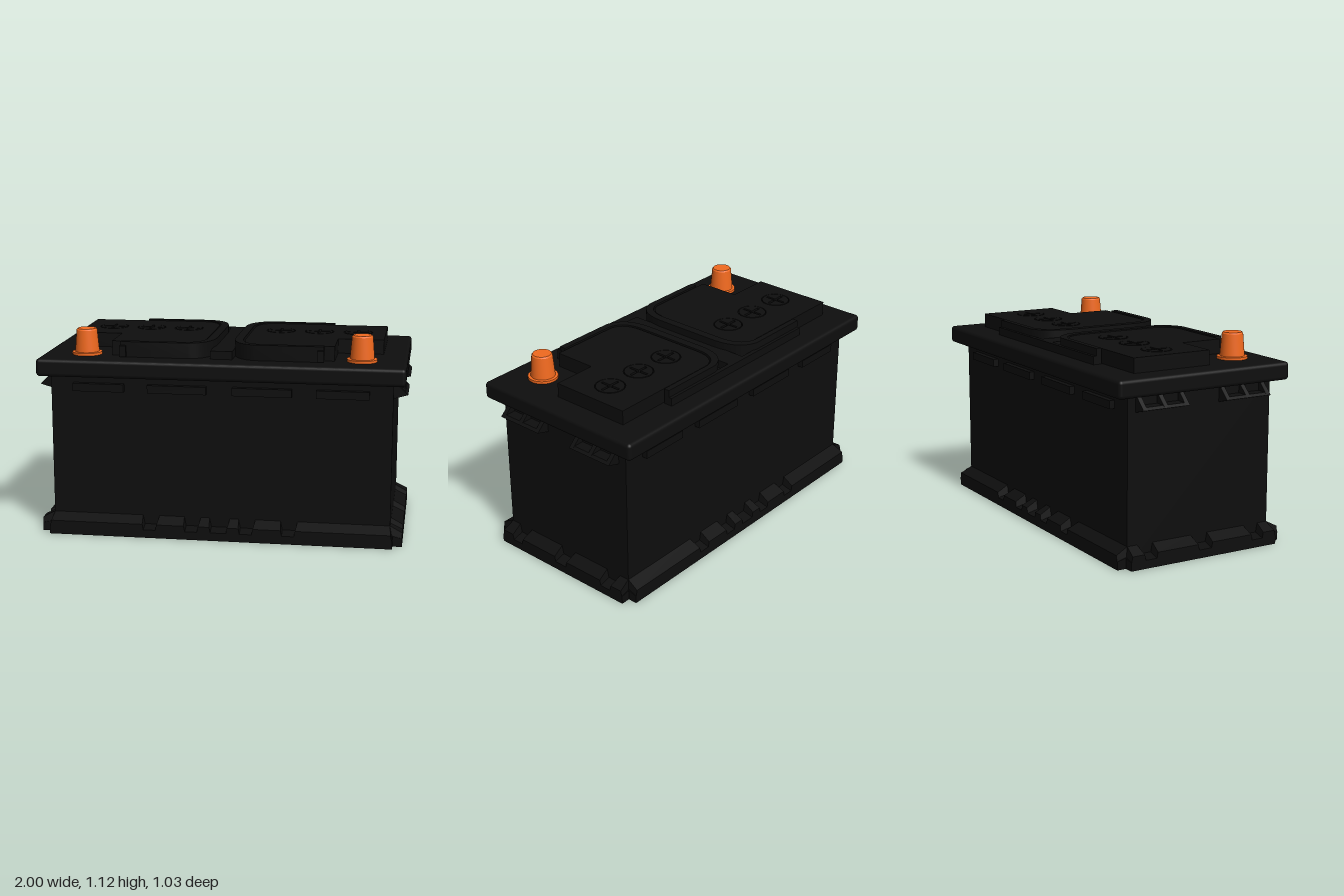
import * as THREE from 'three';
import { RoundedBoxGeometry } from 'three/addons/geometries/RoundedBoxGeometry.js';
import { toCreasedNormals } from 'three/addons/utils/BufferGeometryUtils.js';

const black = new THREE.MeshStandardMaterial({ color: 0x0e0e0e });
const orange = new THREE.MeshStandardMaterial({ color: 0xf26a1f });
const BODY_X = 0.925, BODY_Z = 0.435;

function add(parent, name, geometry, x = 0, y = 0, z = 0, material = black) {
  const mesh = new THREE.Mesh(geometry, material);
  mesh.name = name;
  mesh.position.set(x, y, z);
  parent.add(mesh);
  return mesh;
}

const box = (w, h, d) => new THREE.BoxGeometry(w, h, d);

// Flat outline in (x, -z) raised along y
function slab(shape, height) {
  const g = new THREE.ExtrudeGeometry(shape, { depth: height, bevelEnabled: false, curveSegments: 12 });
  return toCreasedNormals(g.rotateX(-Math.PI / 2), 0.6);
}

// Profile in (outward, up) run along z, its ends leaning in by taper per unit of height
function prism(profile, length, taper = 0) {
  const shape = new THREE.Shape(profile.map(([x, y]) => new THREE.Vector2(x, y)));
  const g = new THREE.ExtrudeGeometry(shape, { depth: length, bevelEnabled: false });
  g.translate(0, 0, -length / 2);
  const p = g.attributes.position;
  const y0 = Math.min(...profile.map(q => q[1]));
  for (let i = 0; i < p.count; i++) {
    p.setZ(i, p.getZ(i) - Math.sign(p.getZ(i)) * taper * (p.getY(i) - y0));
  }
  g.computeVertexNormals();
  return g;
}

// The four walls: turn about y, distance of the wall, half length of the ledge
const ends = [0, Math.PI].map(turn => ({ turn, face: BODY_X, half: 0.45, end: true }));
const longs = [-Math.PI / 2, Math.PI / 2].map(turn => ({ turn, face: BODY_Z, half: 0.94, end: false }));

function wall(parent, name, side) {
  const g = new THREE.Group();
  g.name = name;
  g.rotation.y = side.turn;
  parent.add(g);
  return g;
}

// Foot ledge with tapered, sloping blocks
function baseLedge(parent, side) {
  const g = wall(parent, 'baseLedge', side);
  const f = side.face, o = f + 0.066;
  add(g, 'ledge', prism([[f - 0.02, 0], [o, 0], [o, 0.045], [f - 0.02, 0.065]], side.half * 2));
  const spans = side.end ? [[0.035, 0.3], [0.36, 0.45]] : [[0.04, 0.12], [0.18, 0.35], [0.41, 0.94]];
  for (const [a, b] of spans) for (const s of [-1, 1]) {
    add(g, 'ledgeBlock', prism([[f - 0.02, 0.03], [o, 0.03], [o, 0.076], [f, 0.11], [f - 0.02, 0.11]], b - a, 0.2),
      0, 0, s * (a + b) / 2);
  }
}

// Lifting lugs: a lip with three wedge ribs leaving two pockets
function endLugs(parent, side) {
  const g = wall(parent, 'endLugs', side);
  for (const s of [-1, 1]) {
    const mid = s * 0.25;
    add(g, 'lugLip', prism([[0.9, 0.8], [0.93, 0.8], [1, 0.82], [0.985, 0.833], [0.9, 0.833]], 0.275), 0, 0, mid);
    for (const k of [-1, 0, 1]) {
      add(g, 'lugRib', prism([[0.9, 0.81], [1, 0.82], [0.93, 0.886], [0.9, 0.886]], 0.025), 0, 0, mid + k * 0.125);
    }
  }
}

// Short lips below the lid on the long walls
function wallLips(parent, side) {
  const g = wall(parent, 'wallLips', side);
  for (const [a, b] of [[0.07, 0.39], [0.52, 0.8]]) for (const s of [-1, 1]) {
    add(g, 'wallLip', box(0.04, 0.043, b - a), BODY_Z + 0.01, 0.8225, s * (a + b) / 2);
  }
}

// Raised cover with a step for the terminal and a rounded inner side
function coverOutline(s) {
  const c = new THREE.Shape();
  c.moveTo(s * 0.855, 0.35);
  c.lineTo(s * 0.2, 0.35);
  c.quadraticCurveTo(s * 0.105, 0.33, s * 0.105, 0.2);
  c.lineTo(s * 0.105, -0.2);
  c.quadraticCurveTo(s * 0.105, -0.33, s * 0.2, -0.345);
  c.lineTo(s * 0.605, -0.345);
  c.lineTo(s * 0.605, -0.105);
  c.lineTo(s * 0.855, -0.105);
  c.closePath();
  return c;
}

// C-shaped rim that wraps the inner side of a cover
function rimOutline(s) {
  const r = new THREE.Shape();
  r.moveTo(s * 0.55, 0.39);
  r.lineTo(s * 0.18, 0.39);
  r.quadraticCurveTo(s * 0.05, 0.36, s * 0.05, 0.18);
  r.lineTo(s * 0.05, -0.18);
  r.quadraticCurveTo(s * 0.05, -0.36, s * 0.18, -0.39);
  r.lineTo(s * 0.55, -0.39);
  r.lineTo(s * 0.55, -0.353);
  r.lineTo(s * 0.2, -0.353);
  r.quadraticCurveTo(s * 0.097, -0.335, s * 0.097, -0.2);
  r.lineTo(s * 0.097, 0.2);
  r.quadraticCurveTo(s * 0.097, 0.335, s * 0.2, 0.358);
  r.lineTo(s * 0.55, 0.358);
  r.closePath();
  return r;
}

const circle = (Type, r, x = 0, y = 0) => new Type().absarc(x, y, r, 0, Math.PI * 2, false);

// Round filler cap with a cross slot
function capGeometry() {
  const shape = circle(THREE.Shape, 0.076);
  const a = 0.007, b = 0.06;
  const cross = [[a, a], [a, b], [-a, b], [-a, a], [-b, a], [-b, -a], [-a, -a], [-a, -b], [a, -b], [a, -a], [b, -a], [b, a]];
  shape.holes.push(new THREE.Path(cross.map(([x, y]) => new THREE.Vector2(x, y))));
  return slab(shape, 0.016);
}

function terminalGeometry() {
  const profile = [[0, 0.975], [0.081, 0.975], [0.081, 0.995], [0.066, 0.997], [0.056, 1.115], [0.05, 1.123], [0, 1.123]];
  const g = new THREE.LatheGeometry(profile.map(([r, y]) => new THREE.Vector2(r, y)), 32);
  return toCreasedNormals(g, 0.5);
}

export function createModel() {
  const model = new THREE.Group();
  model.name = 'battery';

  // Case
  const housing = new THREE.Group();
  housing.name = 'case';
  housing.position.z = 0.006;
  model.add(housing);
  add(housing, 'caseBody', box(BODY_X * 2, 0.9, BODY_Z * 2), 0, 0.45, 0);
  for (const side of [...ends, ...longs]) baseLedge(housing, side);
  for (const side of ends) endLugs(housing, side);
  for (const side of longs) wallLips(housing, side);

  // Lid
  add(model, 'lid', new RoundedBoxGeometry(1.98, 0.096, 1.035, 4, 0.02), 0, 0.933, 0.0025);

  // Top details, one set per half
  const cap = capGeometry(), terminal = terminalGeometry();
  for (const s of [-1, 1]) {
    const half = new THREE.Group();
    half.name = s > 0 ? 'leftTop' : 'rightTop';
    model.add(half);
    const capsX = [0.265, 0.482, 0.7].map(x => x * s);
    const top = coverOutline(s);
    for (const x of capsX) top.holes.push(circle(THREE.Path, 0.081, x, 0.12));
    add(half, 'coverBase', slab(coverOutline(s), 0.07), 0, 0.975, 0);
    add(half, 'coverTop', slab(top, 0.015), 0, 1.045, 0);
    for (const x of capsX) add(half, 'fillerCap', cap, x, 1.045, -0.12);
    add(half, 'coverRim', slab(rimOutline(s), 0.09), 0, 0.975, 0);
    add(half, 'rimTab', box(0.035, 0.06, 0.03), s * 0.535, 1.015, 0.395);
    add(half, 'terminal', terminal, s * 0.75, 0, 0.322, orange);
  }

  // Lower channel between the covers and strip along the back
  add(model, 'centerChannel', box(0.12, 0.05, 0.77), 0, 1.0, 0);
  add(model, 'backStrip', box(1.1, 0.05, 0.025), 0, 1.0, -0.395);
  return model;
}
